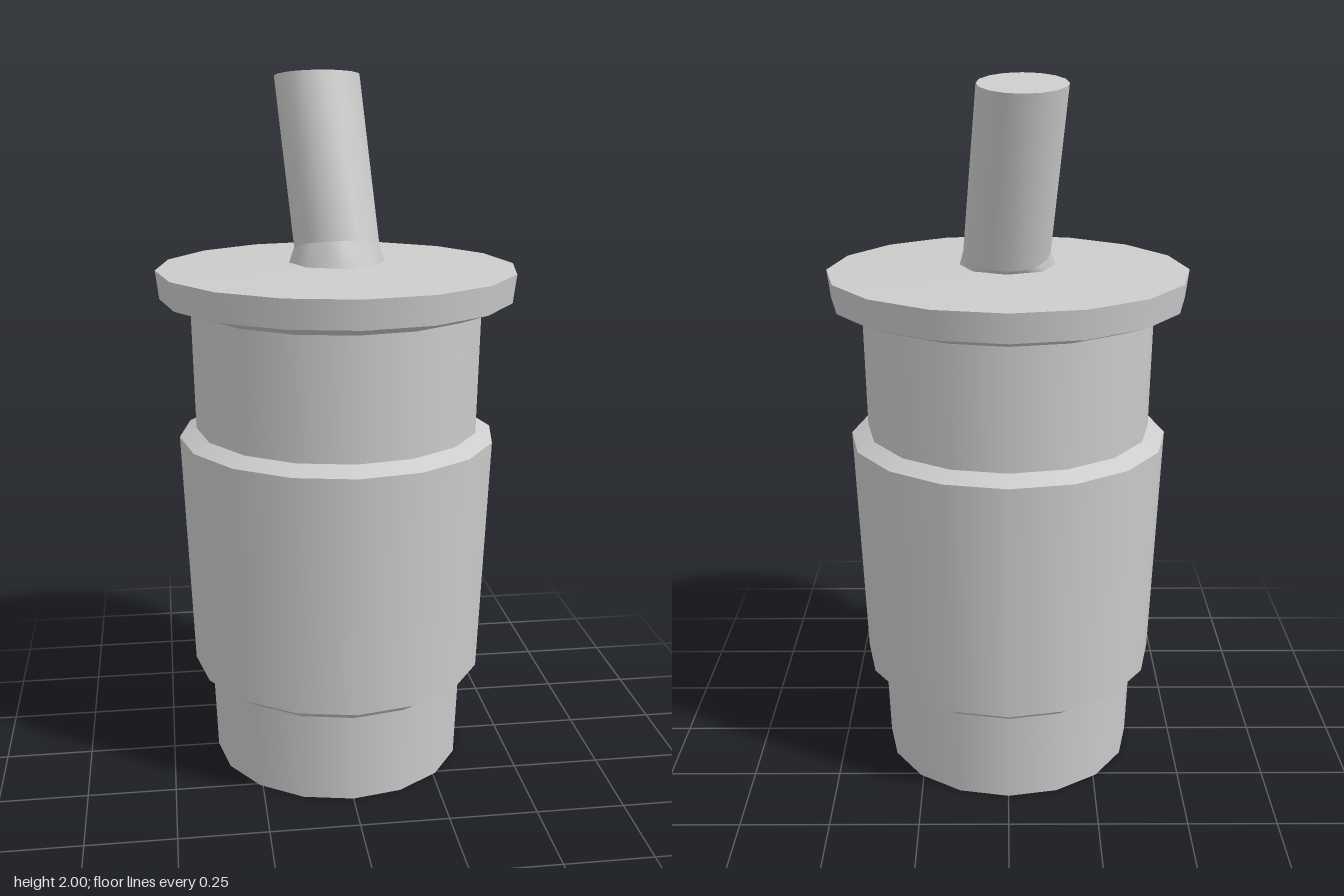
import * as THREE from 'three';

const SIDES = 16;

// One straight band of revolution; separate bands keep profile edges sharp.
function band(r0, y0, r1, y1) {
  return new THREE.LatheGeometry([new THREE.Vector2(r0, y0), new THREE.Vector2(r1, y1)], SIDES);
}

// Ring with centre c, radius r, height rising by slope along z; octagon flattens every second corner.
function ring(c, r, slope = 0, octagon = false) {
  const pts = [];
  for (let i = 0; i < SIDES; i++) {
    const t = (i / SIDES) * Math.PI * 2;
    const rr = octagon && i % 2 ? r * Math.cos(Math.PI / 8) : r;
    const z = rr * Math.cos(t);
    pts.push(c[0] + rr * Math.sin(t), c[1] + slope * z, c[2] + z);
  }
  return pts;
}

// Skin between two rings.
function skin(lower, upper) {
  const index = [];
  for (let i = 0; i < SIDES; i++) {
    const j = (i + 1) % SIDES;
    index.push(i, j, SIDES + i, j, SIDES + j, SIDES + i);
  }
  const g = new THREE.BufferGeometry();
  g.setAttribute('position', new THREE.Float32BufferAttribute([...lower, ...upper], 3));
  g.setIndex(index);
  g.computeVertexNormals();
  return g;
}

export function createModel() {
  const model = new THREE.Group();
  model.name = 'tumblerWithStraw';
  const grey = new THREE.MeshStandardMaterial({ color: 0xcccccc });
  grey.name = 'plain grey';

  function part(name, geometries) {
    const group = new THREE.Group();
    group.name = name;
    for (const g of geometries) {
      const mesh = new THREE.Mesh(g, grey);
      mesh.name = name + 'Surface';
      group.add(mesh);
    }
    model.add(group);
  }

  // Turned parts, each a profile of [radius, height] from bottom to top
  const turned = {
    base: [[0, 0], [0.365, 0], [0.375, 0.26]],
    sleeve: [[0.375, 0.26], [0.425, 0.295], [0.453, 0.985], [0.405, 1.01]],
    neck: [[0.405, 1.01], [0.412, 1.355]],
    lid: [[0.412, 1.355], [0.497, 1.385], [0.507, 1.465], [0, 1.485]],
  };
  for (const [name, p] of Object.entries(turned)) {
    part(name, p.slice(1).map((q, i) => band(p[i][0], p[i][1], q[0], q[1])));
  }

  // Leaning straw rising from a small octagonal collar
  const foot = ring([0, 1.478, 0], 0.135, 0, true);
  const bend = ring([0.003, 1.52, -0.019], 0.121, 0.26);
  const topCentre = [-0.037, 1.982, -0.146];
  const rim = ring(topCentre, 0.121, 0.145);
  part('strawCollar', [skin(foot, bend)]);
  part('straw', [skin(bend, rim), skin(rim, ring(topCentre, 0))]);

  return model;
}
